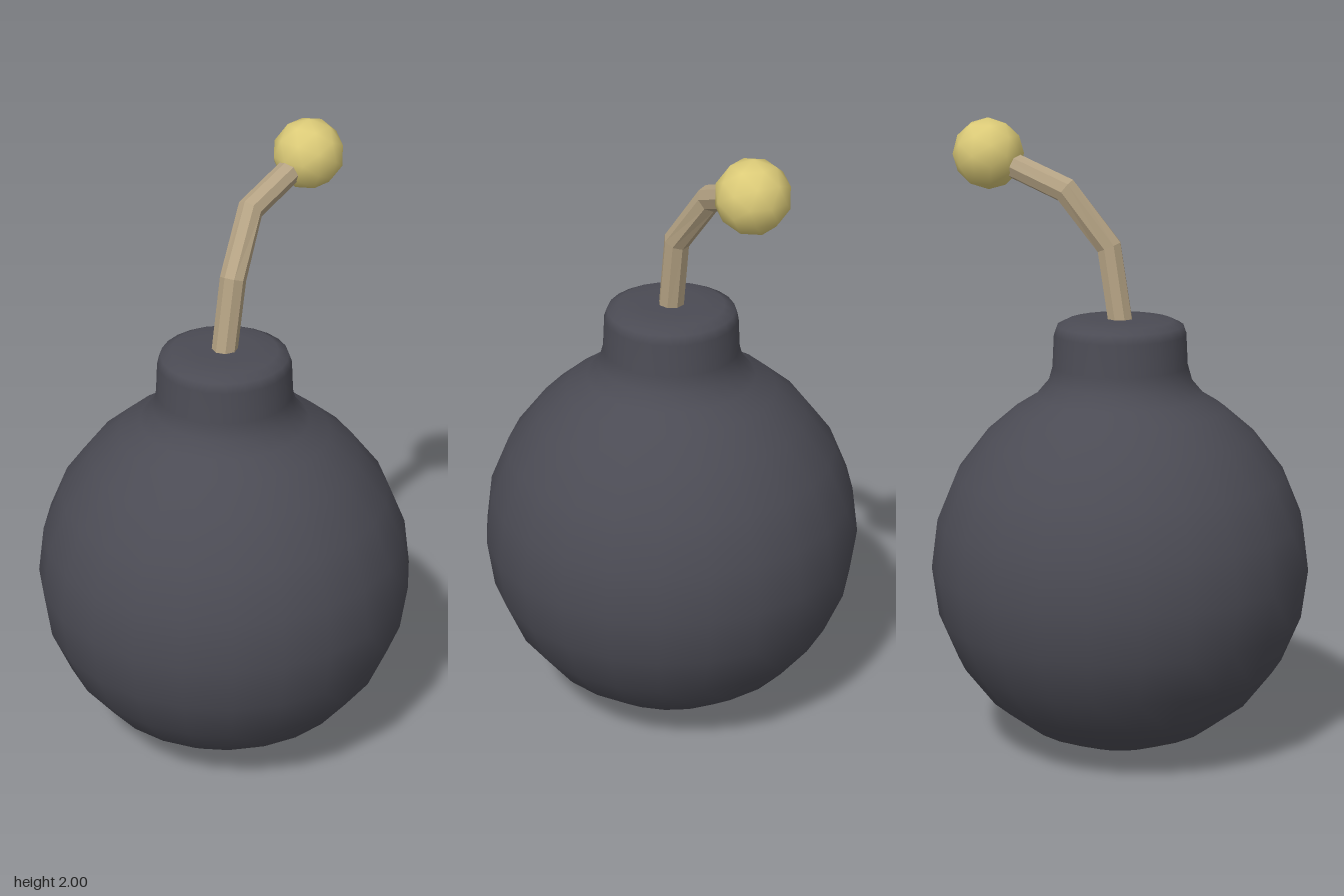
import * as THREE from 'three';

const mat = (name, color, extra = {}) => {
  const m = new THREE.MeshStandardMaterial({ color, ...extra });
  m.name = name;
  return m;
};

// Octagonal rod with mitred corners along a list of points
function mitredRod(points, radius, sides) {
  const dirs = points.slice(1).map((p, i) => p.clone().sub(points[i]).normalize());
  const pos = [], index = [];
  points.forEach((p, i) => {
    const a = dirs[Math.max(i - 1, 0)], b = dirs[Math.min(i, dirs.length - 1)];
    const t = a.clone().add(b).normalize();
    const u = new THREE.Vector3(0, 0, 1).addScaledVector(t, -t.z).normalize();
    const v = t.clone().cross(u);
    const stretch = 1 / t.dot(a);
    for (let s = 0; s < sides; s++) {
      const ang = (s / sides) * Math.PI * 2;
      const q = p.clone()
        .addScaledVector(u, radius * Math.cos(ang))
        .addScaledVector(v, radius * stretch * Math.sin(ang));
      pos.push(q.x, q.y, q.z);
      if (i > 0) {
        const n = (s + 1) % sides, lo = (i - 1) * sides, hi = i * sides;
        index.push(lo + s, lo + n, hi + n, lo + s, hi + n, hi + s);
      }
    }
  });
  const g = new THREE.BufferGeometry();
  g.setAttribute('position', new THREE.Float32BufferAttribute(pos, 3));
  g.setIndex(index);
  g.computeVertexNormals();
  return g;
}

export function createModel() {
  const group = new THREE.Group();
  const add = (name, geometry, material) => {
    const mesh = new THREE.Mesh(geometry, material);
    mesh.name = name;
    group.add(mesh);
    return mesh;
  };

  // Round shell flowing into a short neck
  const profile = [];
  for (let i = 0; i <= 9; i++) {
    const a = (i * Math.PI) / 12;
    profile.push(new THREE.Vector2(0.6 * Math.sin(a), 0.6 - 0.6 * Math.cos(a)));
  }
  for (const [x, y] of [[0.33, 1.105], [0.265, 1.145], [0.227, 1.19], [0.213, 1.24],
    [0.208, 1.34], [0.198, 1.368], [0.165, 1.384], [0.1, 1.388], [0, 1.388]]) {
    profile.push(new THREE.Vector2(x, y));
  }
  add('shell', new THREE.LatheGeometry(profile, 24), mat('dark iron', 0x4b4b54));

  // Bent fuse cord
  const path = [[-0.005, 1.35, 0], [0.038, 1.61, 0], [0.165, 1.785, -0.045], [0.43, 1.888, -0.045]]
    .map((p) => new THREE.Vector3(...p));
  add('fuse', mitredRod(path, 0.04, 8), mat('tan cord', 0xb5a384, { flatShading: true }));

  // Spark ball at the tip
  const tip = add('fuseTip', new THREE.IcosahedronGeometry(0.112, 1), mat('pale yellow', 0xdccb78));
  tip.position.set(0.432, 1.888, -0.045);

  return group;
}
